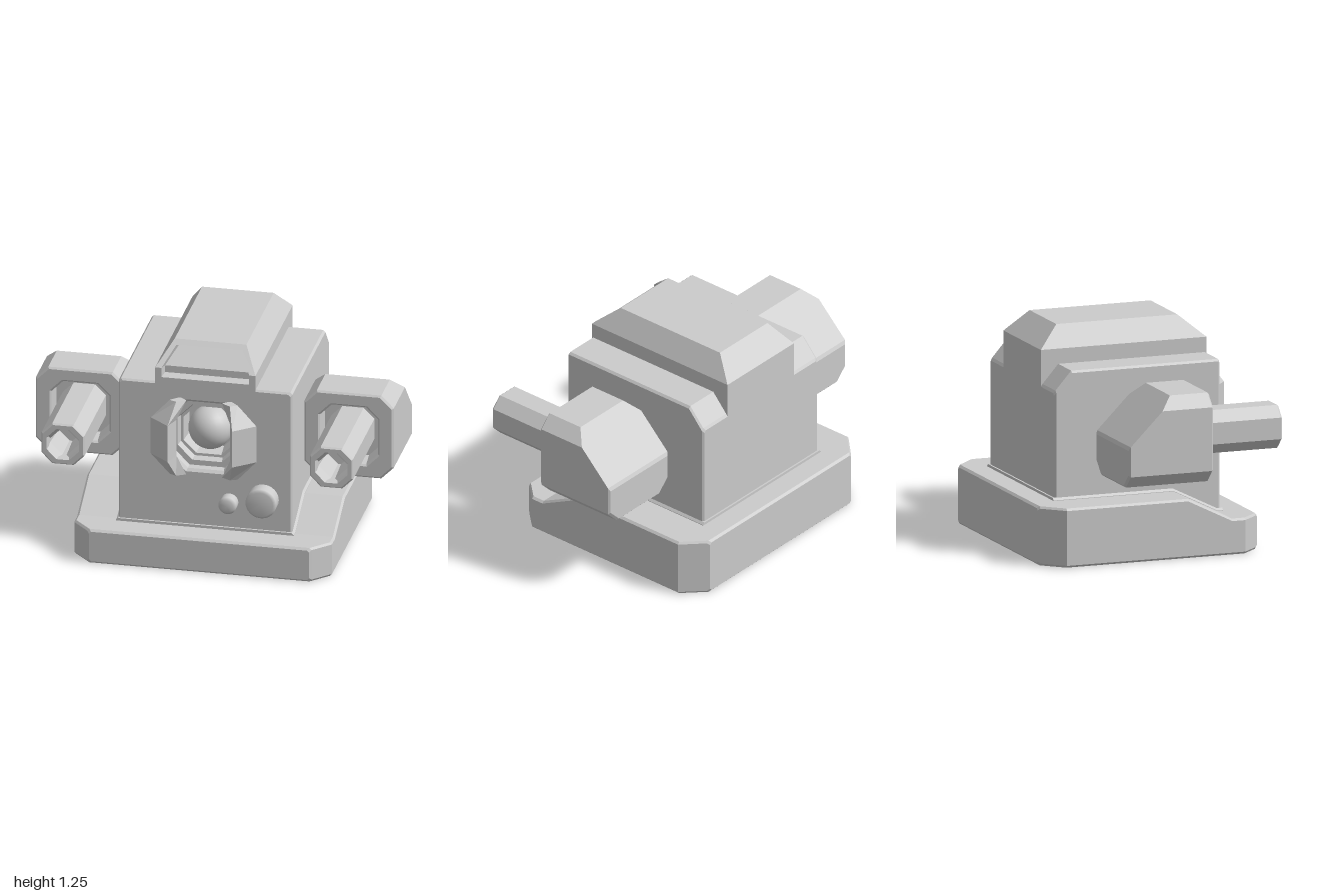
import * as THREE from 'three';

const flat = new THREE.MeshStandardMaterial({ color: 0xcccccc, flatShading: true });
const smooth = new THREE.MeshStandardMaterial({ color: 0xcccccc });

// Rectangle with cut corners, counter-clockwise seen from +z
function oct(hx, hy, c, z, cx = 0, cy = 0) {
  return [[hx, -hy + c], [hx, hy - c], [hx - c, hy], [-hx + c, hy],
    [-hx, hy - c], [-hx, -hy + c], [-hx + c, -hy], [hx - c, -hy]]
    .map(([x, y]) => [cx + x, cy + y, z]);
}

// Same, given by half width, bottom and top
const block = (w, y0, y1, z, c = 0.012) => oct(w, (y1 - y0) / 2, c, z, 0, (y0 + y1) / 2);

// Skin over a series of loops, closed at both ends
function loft(name, loops) {
  const n = loops[0].length;
  const index = [];
  for (let s = 0; s < loops.length - 1; s++) {
    for (let i = 0; i < n; i++) {
      const j = (i + 1) % n;
      const a = s * n + i, b = s * n + j, c = b + n, d = a + n;
      index.push(a, b, c, a, c, d);
    }
  }
  const last = (loops.length - 1) * n;
  for (let k = 1; k < n - 1; k++) {
    const p = (1 + k) % n, q = (2 + k) % n;
    index.push(1, q, p, last + 1, last + p, last + q);
  }
  const g = new THREE.BufferGeometry();
  g.setAttribute('position', new THREE.Float32BufferAttribute(loops.flat(2), 3));
  g.setIndex(index);
  const geometry = g.toNonIndexed();
  geometry.computeVertexNormals();
  const mesh = new THREE.Mesh(geometry, flat);
  mesh.name = name;
  return mesh;
}

// Cut-cornered plinth, lower at the front
function makeBase() {
  return loft('base', [
    block(0.595, 0.012, 0.318, -0.665),
    block(0.607, 0, 0.33, -0.653),
    block(0.72, 0, 0.33, -0.54),
    block(0.72, 0, 0.33, 0.17),
    block(0.72, 0, 0.2, 0.43),
    block(0.72, 0, 0.2, 0.505),
    block(0.627, 0, 0.2, 0.603),
    block(0.615, 0.012, 0.188, 0.615),
  ]);
}

// Thin bead where the body meets the plinth
function makeSkirting() {
  return loft('skirting', [
    block(0.497, 0.1, 0.345, -0.532),
    block(0.497, 0.1, 0.345, 0.17),
    block(0.497, 0.1, 0.215, 0.43),
    block(0.497, 0.1, 0.215, 0.462),
  ]);
}

// Main body with a stepped eye socket sunk in its front
function makeBody() {
  const ring = (r, z) => oct(r, r, r * 0.5, z, 0, 0.74);
  return loft('body', [
    block(0.475, 0.1, 0.925, -0.522),
    block(0.485, 0.1, 0.94, -0.512),
    block(0.485, 0.1, 1.045, -0.42),
    block(0.485, 0.1, 1.045, 0.44),
    block(0.475, 0.1, 1.035, 0.45),
    ring(0.215, 0.45), ring(0.2, 0.435),
    ring(0.195, 0.4), ring(0.165, 0.4),
    ring(0.155, 0.36), ring(0.14, 0.36), ring(0.13, 0.26),
  ]);
}

// Raised roof with sloping ends and a sunken front window
function makeRoof() {
  const arch = (w, wt, lo, mid, top, z, zt) => [
    [w, lo, z], [w, mid, z], [wt, top, zt], [-wt, top, zt], [-w, mid, z], [-w, lo, z]];
  return loft('roof', [
    arch(0.28, 0.2, 0.925, 1.13, 1.25, -0.522, -0.4),
    arch(0.28, 0.2, 1.0, 1.13, 1.25, -0.4, -0.39),
    arch(0.28, 0.2, 1.03, 1.13, 1.25, 0.45, 0.31),
    arch(0.245, 0.185, 1.075, 1.13, 1.225, 0.45, 0.339),
    arch(0.235, 0.175, 1.085, 1.125, 1.215, 0.4, 0.29),
  ]);
}

// Side pod with a sloping back and a socket for the barrel
function makePod() {
  const rear = (top, z, inset = 0) => {
    const p = oct(0.25 - inset, 0.2475 - inset, 0.07, z);
    p[1][1] = p[2][1] = p[3][1] = p[4][1] = top;
    p[2][0] = p[1][0];
    p[3][0] = p[4][0];
    return p;
  };
  const pod = new THREE.Group();
  pod.add(loft('podShell', [
    rear(-0.03, -0.287, 0.01),
    rear(-0.01, -0.277),
    rear(0.1775, -0.09),
    oct(0.25, 0.2475, 0.07, -0.02),
    oct(0.25, 0.2475, 0.07, 0.2),
    oct(0.24, 0.2375, 0.066, 0.21),
    oct(0.172, 0.18, 0.07, 0.21),
    oct(0.162, 0.17, 0.066, 0.2),
    oct(0.155, 0.16, 0.065, 0.1),
  ]));
  // Hollow barrel with a diamond bore
  pod.add(loft('barrel', [
    oct(0.12, 0.12, 0.06, 0.06),
    oct(0.12, 0.12, 0.06, 0.655),
    oct(0.112, 0.112, 0.057, 0.665),
    oct(0.09, 0.09, 0.055, 0.665),
    oct(0.085, 0.085, 0.055, 0.64),
    oct(0.08, 0.08, 0.068, 0.62),
    oct(0.07, 0.07, 0.062, 0.45),
  ]));
  return pod;
}

// Faceted eyelid curving round one side of the socket
function makeEyelid(side) {
  const end = (y) => [[0.15, y, 0.51], [0.19, y, 0.49], [0.14, y, 0.44], [0.1, y, 0.48]];
  const middle = (y) => [[0.18, y, 0.592], [0.295, y, 0.495], [0.2, y, 0.437], [0.15, y, 0.5]];
  let loops = [end(0.52), middle(0.635), middle(0.85), end(0.962)];
  if (side < 0) loops = loops.map((l) => l.map(([x, y, z]) => [-x, y, z]).reverse());
  return loft(side > 0 ? 'leftEyelid' : 'rightEyelid', loops);
}

// Round knob with a bevelled rim
function makeKnob(name, x, y, r, front) {
  const profile = [[r, 0.43], [r, front - 0.015], [r - 0.015, front], [0, front]]
    .map(([a, b]) => new THREE.Vector2(a, b));
  const geometry = new THREE.LatheGeometry(profile, 24);
  geometry.rotateX(Math.PI / 2);
  const mesh = new THREE.Mesh(geometry, smooth);
  mesh.name = name;
  mesh.position.set(x, y, 0);
  return mesh;
}

export function createModel() {
  const model = new THREE.Group();
  model.name = 'turret';
  model.add(makeBase(), makeSkirting(), makeBody(), makeRoof());

  // Eye
  const eye = new THREE.Mesh(new THREE.SphereGeometry(0.122, 24, 16), smooth);
  eye.name = 'eye';
  eye.position.set(0, 0.74, 0.31);
  model.add(eye);

  for (const side of [1, -1]) {
    const pod = makePod();
    pod.name = side > 0 ? 'leftPod' : 'rightPod';
    pod.position.set(side * 0.75, 0.7175, 0);
    model.add(pod, makeEyelid(side));
  }

  model.add(
    makeKnob('smallKnob', 0.135, 0.365, 0.05, 0.52),
    makeKnob('largeKnob', 0.325, 0.4, 0.086, 0.535),
  );
  return model;
}
